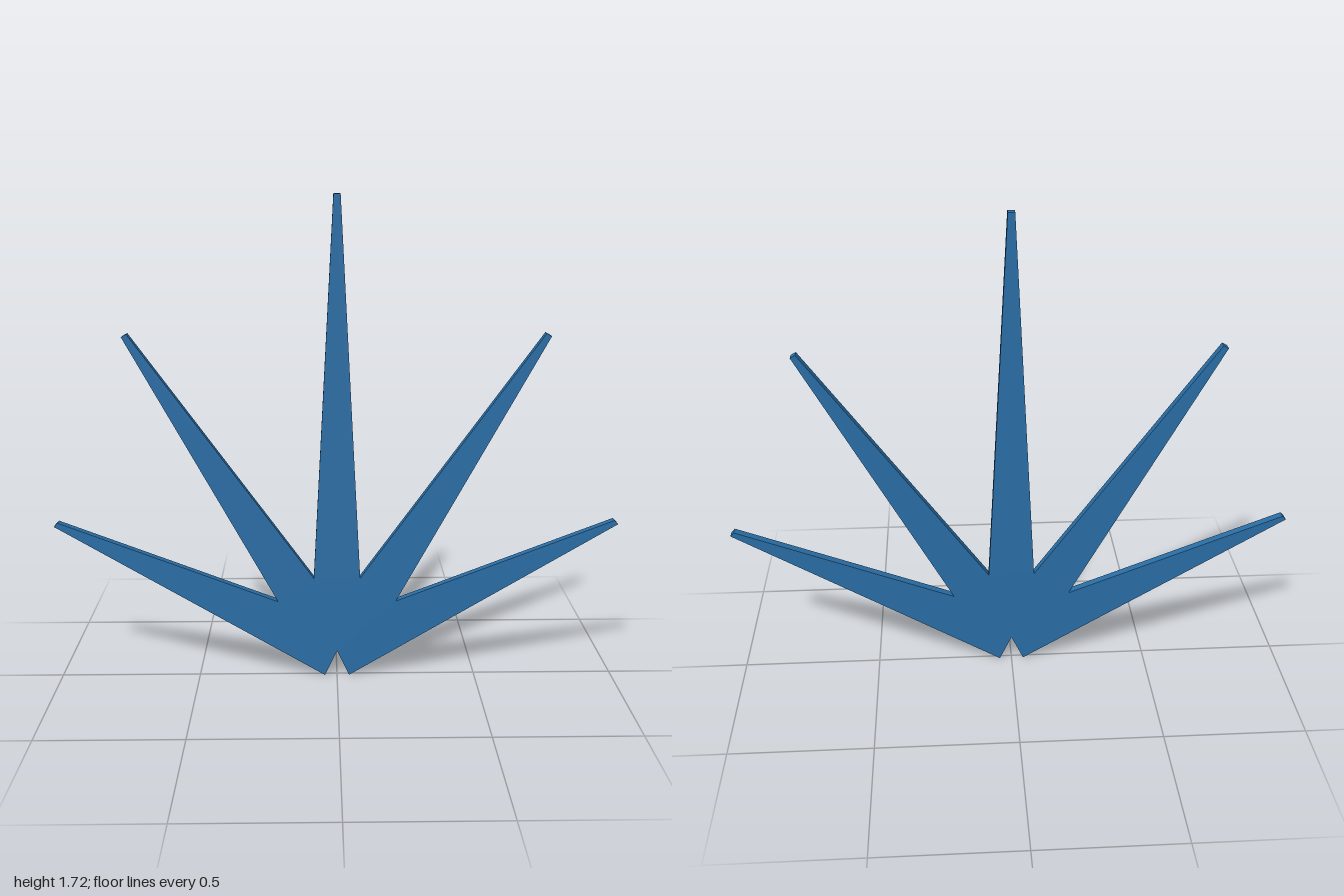
import * as THREE from 'three';

const DEPTH = 0.03;

// Right half of the fan outline, from the base notch up to the top spike
const HALF = [
  [0.044, 0], // foot
  [1.0, 0.572], [0.987, 0.586], // low spike tip
  [0.212, 0.286], // valley
  [0.735, 1.246], [0.717, 1.256], // middle spike tip
  [0.083, 0.374], // valley
  [0.012, 1.724], // top spike tip
];

export function createModel() {
  const group = new THREE.Group();
  group.name = 'spikeFan';

  // Mirror the half outline around the centre notch
  const mirrored = HALF.map(([x, y]) => [-x, y]).reverse();
  const outline = [[0, 0.095], ...HALF, ...mirrored];
  const shape = new THREE.Shape(outline.map(([x, y]) => new THREE.Vector2(x, y)));

  // Flat plate with five spikes
  const geometry = new THREE.ExtrudeGeometry(shape, { depth: DEPTH, bevelEnabled: false });
  geometry.translate(0, 0, -DEPTH / 2);

  const plate = new THREE.Mesh(geometry, new THREE.MeshStandardMaterial({ color: 0x2a6fa8 }));
  plate.name = 'fivePointedPlate';
  group.add(plate);
  return group;
}
